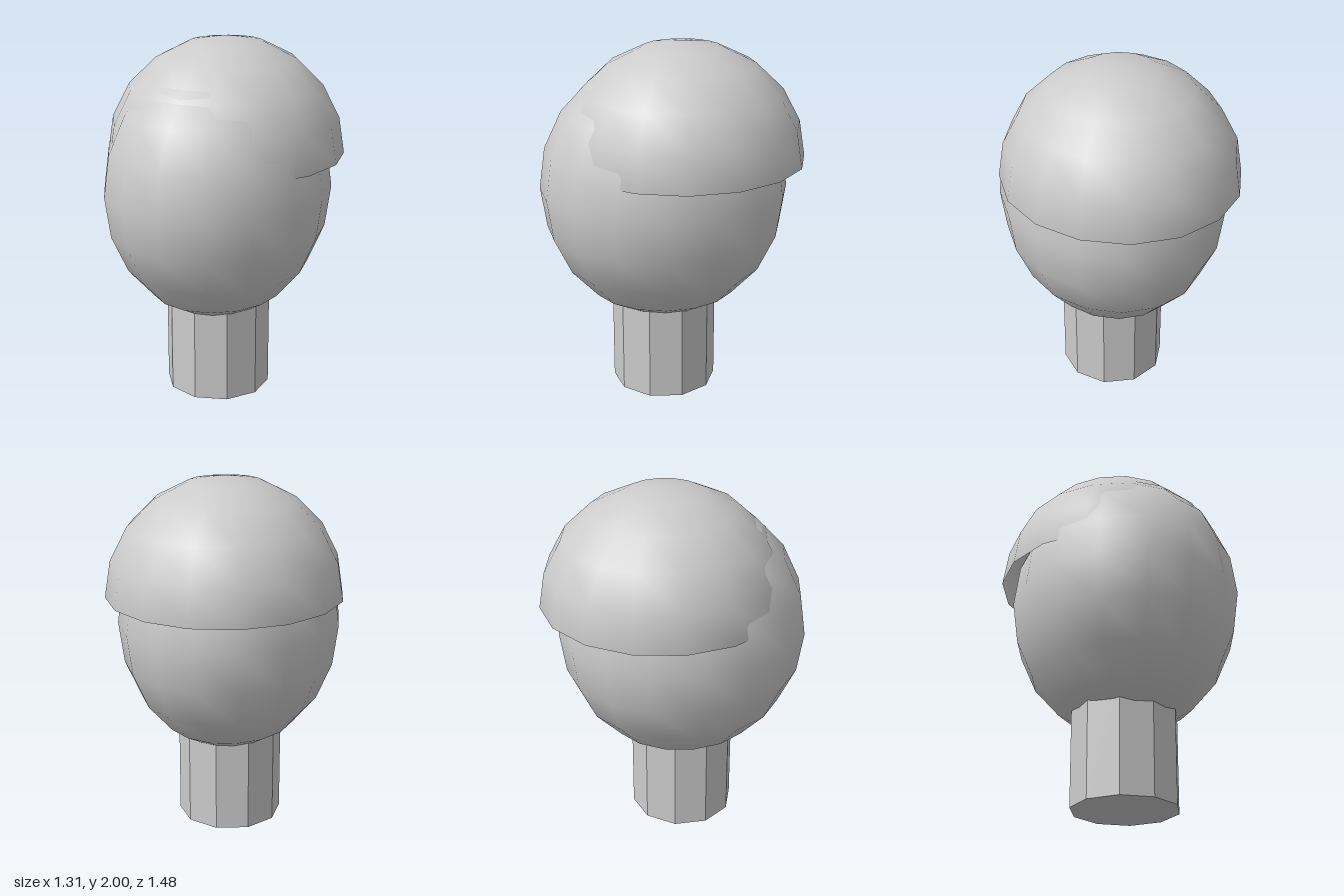
import * as THREE from 'three';

export function createModel() {
  const model = new THREE.Group();
  const grey = new THREE.MeshStandardMaterial({ color: 0xcccccc, side: THREE.DoubleSide });
  grey.name = 'plain grey';

  const add = (name, geometry, y, z) => {
    const mesh = new THREE.Mesh(geometry, grey);
    mesh.name = name;
    mesh.position.set(0, y, z);
    model.add(mesh);
  };

  // Egg-shaped head
  add('head', new THREE.SphereGeometry(1, 16, 10).scale(0.62, 0.745, 0.69), 1.18, 0.05);

  // Open half dome of hair, set back so the face pushes through it
  const dome = new THREE.SphereGeometry(1, 16, 5, 0, Math.PI * 2, 0, Math.PI / 2);
  add('hair', dome.scale(0.655, 0.65, 0.685), 1.35, -0.05);

  // Ten-sided neck with sharp edges
  const neck = new THREE.CylinderGeometry(0.295, 0.295, 0.6, 10).toNonIndexed();
  neck.computeVertexNormals();
  add('neck', neck, 0.3, 0.05);

  return model;
}
